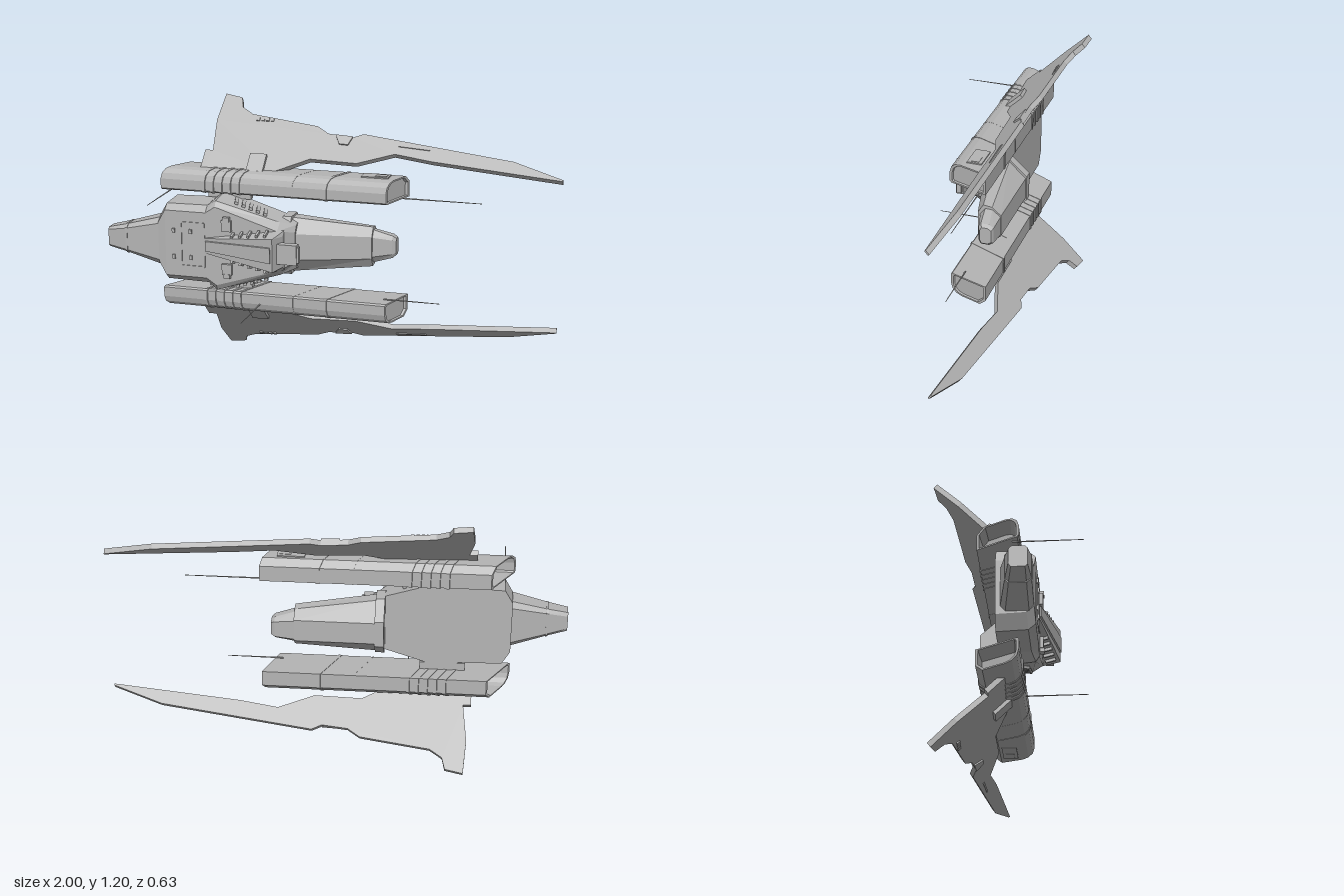
import * as THREE from 'three';

const grey = new THREE.MeshStandardMaterial({ color: 0xb4b4b4, flatShading: true });
grey.name = 'hull grey';

// Closed solid from convex rings of [x, y, z], capped at both ends and wound outwards
function loft(rings) {
  const tris = [];
  const n = rings[0].length;
  for (let r = 0; r < rings.length - 1; r++) {
    for (let i = 0; i < n; i++) {
      const j = (i + 1) % n;
      const [a, b, c, d] = [rings[r][i], rings[r][j], rings[r + 1][j], rings[r + 1][i]];
      tris.push([a, b, c], [a, c, d]);
    }
  }
  const last = rings[rings.length - 1];
  for (let i = 1; i < n - 1; i++) {
    tris.push([rings[0][0], rings[0][i + 1], rings[0][i]], [last[0], last[i], last[i + 1]]);
  }
  let volume = 0;
  for (const [a, b, c] of tris) {
    volume += a[0] * (b[1] * c[2] - b[2] * c[1]) + a[1] * (b[2] * c[0] - b[0] * c[2]) + a[2] * (b[0] * c[1] - b[1] * c[0]);
  }
  const pos = tris.flatMap(([a, b, c]) => (volume > 0 ? [a, b, c] : [a, c, b])).flat();
  const g = new THREE.BufferGeometry();
  g.setAttribute('position', new THREE.Float32BufferAttribute(pos, 3));
  g.computeVertexNormals();
  return g;
}

// Hull solid from stations: x, then [halfWidth, z] pairs from top to bottom
function hull(stations) {
  return loft(stations.map(([x, ...pts]) => [
    ...pts.map(([w, z]) => [x, w, z]),
    ...pts.slice().reverse().map(([w, z]) => [x, -w, z]),
  ]));
}

// Nacelle cross-section [y, z]
const nacelleSection = [
  [0.225, -0.12], [0.295, -0.12], [0.323, -0.09], [0.323, 0.005], [0.317, 0.032],
  [0.3, 0.052], [0.275, 0.06], [0.232, 0.06], [0.225, 0.053],
];
// One raked, scaled ring of the nacelle; x is measured at z = 0
function nacelleRing(x, rake, scale, s) {
  return nacelleSection.map(([y, z]) => {
    const zz = -0.03 + (z + 0.03) * scale;
    return [x + rake * zz, s * (0.274 + (y - 0.274) * scale), zz];
  });
}

// Upper wing outline, y measured from the centre line
const wingOutline = [
  [-0.57, 0.6], [-0.49, 0.588], [-0.475, 0.552], [-0.42, 0.527], [-0.11, 0.493], [-0.055, 0.468],
  [0.06, 0.458], [0.105, 0.472], [0.78, 0.4], [1, 0.345], [1, 0.34], [0.43, 0.385], [0.26, 0.405],
  [0.1, 0.365], [-0.11, 0.372], [-0.26, 0.32], [-0.3, 0.3], [-0.595, 0.3], [-0.595, 0.387], [-0.56, 0.387], [-0.58, 0.5],
];
const wingZ = (x, y) => -0.02 - 0.0505 * (x + 0.26) - 1.056 * (y - 0.32);

// Plate lying in the sloping wing plane, its top raised by lift
function wingPlate(points, thick, lift, s) {
  const shape = new THREE.Shape(points.map(([x, y]) => new THREE.Vector2(x, s * y)));
  const g = new THREE.ExtrudeGeometry(shape, { depth: thick, bevelEnabled: false });
  const p = g.attributes.position;
  for (let i = 0; i < p.count; i++) {
    const drop = (thick - p.getZ(i)) - lift;
    const x = p.getX(i), y = p.getY(i);
    p.setXYZ(i, x, y - s * drop, wingZ(x, Math.abs(y)) - drop * 0.8);
  }
  g.computeVertexNormals();
  return g;
}

export function createModel() {
  const ship = new THREE.Group();
  ship.name = 'spacecraft';
  ship.position.y = 0.6;

  const add = (name, geometry, x = 0, y = 0, z = 0) => {
    const m = new THREE.Mesh(geometry, grey);
    m.name = name;
    m.position.set(x, y, z);
    ship.add(m);
    return m;
  };
  const box = (name, w, h, d, x, y, z) => add(name, new THREE.BoxGeometry(w, h, d), x, y, z);

  // Central body
  add('mainBody', hull([
    [-0.755, [0.09, 0.12], [0.115, 0.09], [0.12, -0.035]],
    [-0.72, [0.15, 0.125], [0.175, 0.095], [0.18, -0.035]],
    [-0.53, [0.15, 0.125], [0.178, 0.095], [0.185, -0.035]],
    [-0.485, [0.18, 0.125], [0.205, 0.11], [0.22, -0.035]],
    [-0.2, [0.09, 0.125], [0.12, 0.08], [0.13, -0.035]],
    [-0.14, [0.07, 0.05], [0.1, 0.03], [0.11, -0.035]],
  ]));

  // Tail boom with its end cap
  add('tail', hull([
    [-1, [0.035, 0.11], [0.045, 0.1], [0.045, 0.045], [0.03, 0.035]],
    [-0.91, [0.05, 0.12], [0.066, 0.1], [0.066, 0.03], [0.05, 0.015]],
    [-0.75, [0.085, 0.12], [0.11, 0.1], [0.11, 0.005], [0.085, -0.015]],
  ]));
  add('tailBand', hull([
    [-0.915, [0.052, 0.122], [0.068, 0.102], [0.068, 0.029], [0.052, 0.013]],
    [-0.905, [0.053, 0.122], [0.069, 0.102], [0.069, 0.028], [0.053, 0.012]],
  ]));

  // Forward neck and nose
  add('neck', hull([
    [-0.2, [0.06, 0.06], [0.125, 0], [0.125, -0.06], [0.05, -0.14]],
    [-0.15, [0.06, 0.045], [0.122, -0.005], [0.122, -0.065], [0.05, -0.14]],
    [0.185, [0.05, -0.035], [0.09, -0.06], [0.085, -0.1], [0.05, -0.14]],
  ]));
  add('nose', hull([
    [0.18, [0.045, -0.045], [0.076, -0.068], [0.074, -0.1], [0.045, -0.138]],
    [0.27, [0.032, -0.068], [0.05, -0.078], [0.05, -0.115], [0.036, -0.135]],
    [0.285, [0.025, -0.078], [0.038, -0.086], [0.038, -0.112], [0.028, -0.128]],
  ]));
  add('neckCollar', hull([
    [-0.205, [0.08, 0.06], [0.132, 0.02], [0.132, -0.065], [0.06, -0.145]],
    [-0.165, [0.08, 0.06], [0.132, 0.02], [0.132, -0.065], [0.06, -0.145]],
  ]));

  // Raised spine with a front intake frame
  add('spine', hull([
    [-0.54, [0.033, 0.128], [0.04, 0.11]],
    [-0.2, [0.075, 0.2], [0.095, 0.11]],
    [-0.175, [0.07, 0.125], [0.09, 0.1]],
  ]));
  add('spineRidge', hull([
    [-0.53, [0.022, 0.137], [0.026, 0.12]],
    [-0.21, [0.035, 0.205], [0.04, 0.18]],
  ]));
  box('frontSensor', 0.09, 0.09, 0.035, -0.145, 0, 0.15);
  box('sensorTip', 0.012, 0.07, 0.022, -0.098, 0, 0.15);

  // Hatch frame on the rear deck
  for (const x of [-0.645, -0.537]) box('hatchFrame', 0.006, 0.2, 0.006, x, 0, 0.126);

  for (const s of [1, -1]) {
    box('hatchFrame', 0.108, 0.006, 0.006, -0.591, s * 0.1, 0.126);
    for (const x of [-0.68, -0.6]) box('deckLatch', 0.012, 0.02, 0.01, x, s * 0.06, 0.128);
    box('deckPod', 0.045, 0.05, 0.02, -0.43, s * 0.1, 0.13);
    box('deckPodCap', 0.03, 0.02, 0.026, -0.43, s * 0.13, 0.13);

    // Spine side louvres
    for (let i = 0; i < 5; i++) {
      const x = -0.4 + i * 0.04;
      const slat = box('spineLouvre', 0.01, 0.012, 0.045, x, s * (0.062 + i * 0.006), 0.135 + i * 0.006);
      slat.rotation.x = s * 0.25;
    }

    // Side vents on the tapering flank
    const vent = new THREE.Group();
    vent.name = 'sideVent';
    vent.position.set(-0.345, s * 0.171, 0.04);
    vent.rotation.set(s * -0.08, 0, -s * 0.3);
    for (let i = 0; i < 5; i++) {
      const slat = new THREE.Mesh(new THREE.BoxGeometry(0.016, 0.012, 0.085), grey);
      slat.name = 'ventSlat';
      slat.position.x = -0.07 + i * 0.035;
      slat.rotation.y = 0.3;
      vent.add(slat);
    }
    ship.add(vent);

    // Pylon to the nacelle
    box('pylon', 0.2, 0.05, 0.03, -0.46, s * 0.215, -0.018);

    // Nacelle: hollow rear, recessed front
    add('nacelle', loft([
      nacelleRing(-0.62, -0.58, 0.8, s),
      nacelleRing(-0.726, -0.58, 0.88, s),
      nacelleRing(-0.726, -0.58, 1, s),
      nacelleRing(0.29, -0.35, 1, s),
      nacelleRing(0.29, -0.35, 0.86, s),
      nacelleRing(0.28, -0.35, 0.82, s),
    ]));
    const band = (name, x, width, scale) => add(name, loft([
      nacelleRing(x - width / 2, -0.46, scale, s), nacelleRing(x + width / 2, -0.46, scale, s),
    ]));
    for (let i = 0; i < 5; i++) band('nacelleRib', -0.53 + i * 0.04, 0.014, 1.045);
    band('nacelleSeam', -0.125, 0.005, 1.01);
    band('nacelleBand', 0.025, 0.016, 1.035);

    // Outer hatch on the nacelle
    box('nacelleHatch', 0.12, 0.008, 0.065, 0.2, s * 0.324, -0.045);
    box('nacelleHatchLid', 0.05, 0.012, 0.035, 0.225, s * 0.324, -0.045);

    // Swept wing and its raised details
    add('wing', wingPlate(wingOutline, 0.018, 0, s));
    add('wingHatch', wingPlate([[-0.02, 0.463], [0.06, 0.459], [0.045, 0.428], [0.005, 0.43]], 0.01, 0.005, s));
    add('wingSlot', wingPlate([[0.27, 0.438], [0.41, 0.428], [0.41, 0.423], [0.27, 0.432]], 0.006, 0.003, s));
    for (let i = 0; i < 4; i++) {
      const x = -0.395 + i * 0.022;
      add('wingVent', wingPlate([[x, 0.513], [x + 0.014, 0.513], [x + 0.014, 0.502], [x, 0.502]], 0.008, 0.004, s));
    }
    add('wingRootBlock', wingPlate([[-0.38, 0.375], [-0.305, 0.375], [-0.305, 0.3], [-0.38, 0.3]], 0.03, 0.012, s));
  }

  // Thin guns and antennas; each differs from its partner
  const rod = (name, length, x, y, z, axis) => {
    const m = add(name, new THREE.CylinderGeometry(0.0015, 0.0035, length, 6), x, y, z);
    if (axis === 'x') m.rotation.z = -Math.PI / 2;
    else m.rotation.x = Math.PI / 2;
  };
  rod('upperGun', 0.4, 0.46, 0.222, -0.087, 'x');
  rod('lowerGun', 0.25, 0.375, -0.219, 0, 'x');
  rod('upperAntenna', 0.29, -0.72, 0.222, 0.175, 'z');
  rod('lowerAntenna', 0.29, -0.305, -0.276, 0.175, 'z');

  return ship;
}
